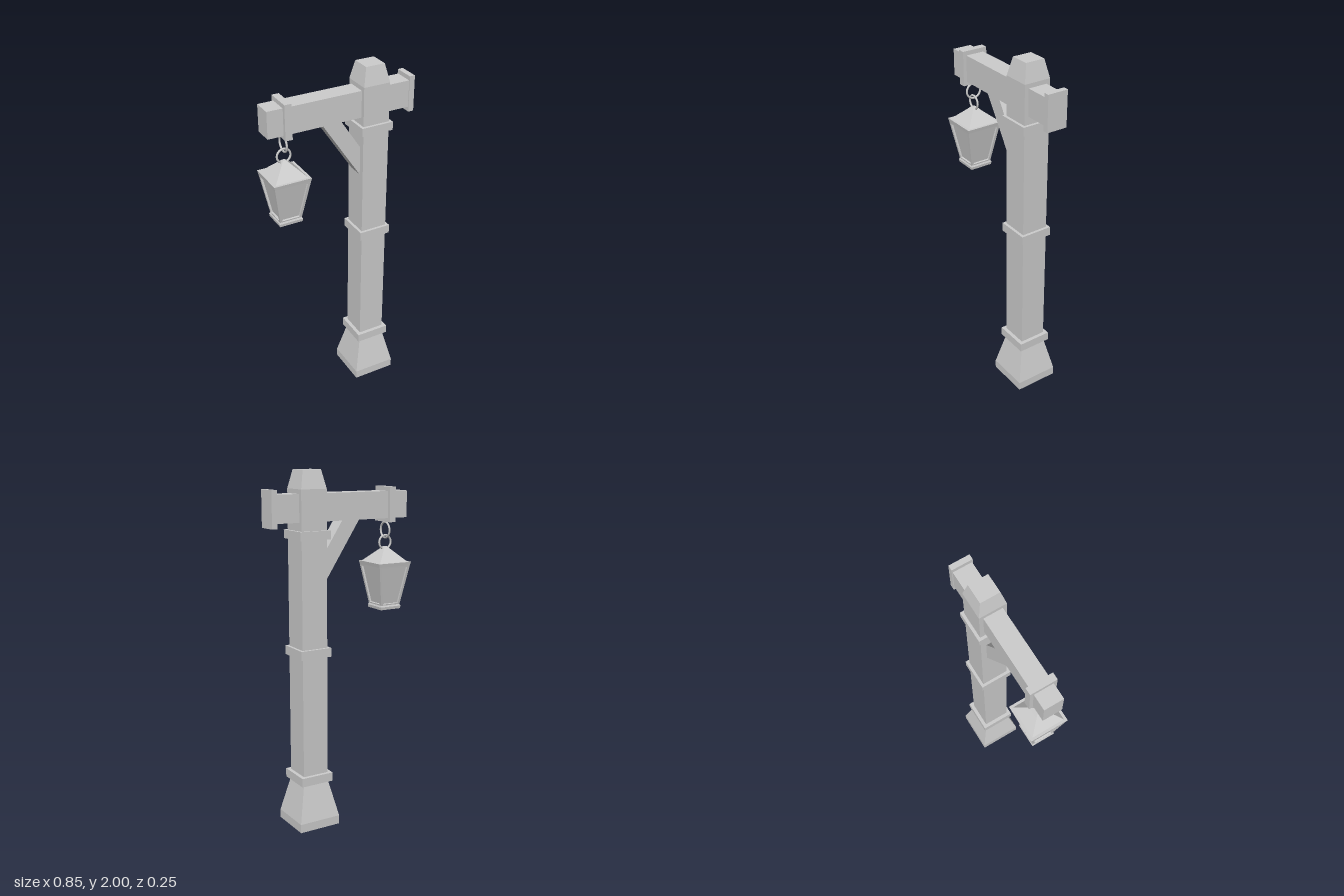
import * as THREE from 'three';

const stone = new THREE.MeshStandardMaterial({ color: 0xcccccc });
stone.name = 'grey';

const POST_X = 0.184, LAMP_X = -0.32;

function add(parent, name, geometry, x = 0, y = 0, z = 0) {
  const mesh = new THREE.Mesh(geometry, stone);
  mesh.name = name;
  mesh.position.set(x, y, z);
  parent.add(mesh);
  return mesh;
}

// Solid with square cross-sections, from [halfWidth, y] pairs listed bottom to top
function squareLoft(profile) {
  const first = profile[0], last = profile[profile.length - 1];
  const points = [[0, first[1]], ...profile, [0, last[1]]]
    .map(([h, y]) => new THREE.Vector2(h * Math.SQRT2, y));
  const geometry = new THREE.LatheGeometry(points, 4).rotateY(Math.PI / 4).toNonIndexed();
  geometry.computeVertexNormals();
  return geometry;
}

function boxBetween(parent, name, x0, x1, y0, y1, halfDepth) {
  return add(parent, name, new THREE.BoxGeometry(x1 - x0, y1 - y0, halfDepth * 2),
    (x0 + x1) / 2, (y0 + y1) / 2, 0);
}

function polygon(Type, corners) {
  return new Type(corners.map(([x, y]) => new THREE.Vector2(x, y)));
}

function buildPost() {
  const post = new THREE.Group();
  post.name = 'post';
  post.position.x = POST_X;
  add(post, 'foot', squareLoft([[0.125, 0], [0.125, 0.05], [0.078, 0.26]]));
  add(post, 'shaft', squareLoft([[0.077, 0.25], [0.077, 1.9], [0.055, 2]]));
  // Square collars
  for (const [y0, y1, half] of [[0.26, 0.31, 0.098], [0.99, 1.04, 0.093], [1.635, 1.682, 0.093]]) {
    boxBetween(post, 'collar', -half, half, y0, y1, half);
  }
  return post;
}

function buildArm() {
  const arm = new THREE.Group();
  arm.name = 'arm';
  boxBetween(arm, 'beam', -0.428, 0.395, 1.727, 1.876, 0.054);
  boxBetween(arm, 'beamEndCap', 0.393, 0.424, 1.7, 1.9, 0.059);
  boxBetween(arm, 'strap', LAMP_X - 0.02, LAMP_X + 0.02, 1.705, 1.9, 0.074);
  // Diagonal brace under the beam
  const outline = polygon(THREE.Shape,
    [[-0.118, 1.73], [0.115, 1.375], [0.115, 1.54], [-0.01, 1.73]]);
  add(arm, 'brace', new THREE.ExtrudeGeometry(outline, { depth: 0.09, bevelEnabled: false }), 0, 0, -0.045);
  return arm;
}

function buildLantern() {
  const lantern = new THREE.Group();
  lantern.name = 'lantern';
  lantern.position.x = LAMP_X;

  // Two linked rings
  add(lantern, 'upperRing', new THREE.TorusGeometry(0.044, 0.006, 8, 20), 0, 1.657, 0).rotation.y = Math.PI / 2;
  add(lantern, 'lowerRing', new THREE.TorusGeometry(0.039, 0.006, 8, 20), 0, 1.588, 0);

  add(lantern, 'roof', squareLoft([[0.095, 1.478], [0.034, 1.538], [0.008, 1.564]]));
  add(lantern, 'eave', squareLoft([[0.102, 1.455], [0.107, 1.48]]));
  add(lantern, 'sill', squareLoft([[0.066, 1.21], [0.068, 1.226], [0.062, 1.238]]));
  add(lantern, 'panes', squareLoft([[0.051, 1.225], [0.092, 1.465]]));

  // Sloping window frames, one on each side
  const y0 = 1.232, y1 = 1.46, h0 = 0.063, h1 = 0.103;
  const tilt = Math.atan2(h1 - h0, y1 - y0);
  const length = Math.hypot(h1 - h0, y1 - y0);
  const outline = polygon(THREE.Shape, [[-h0, 0], [h0, 0], [h1, length], [-h1, length]]);
  outline.holes.push(polygon(THREE.Path,
    [[-0.052, 0.01], [-0.086, length - 0.01], [0.086, length - 0.01], [0.052, 0.01]]));
  for (let i = 0; i < 4; i++) {
    const frame = new THREE.ExtrudeGeometry(outline, { depth: 0.014, bevelEnabled: false })
      .translate(0, 0, -0.014)
      .rotateX(tilt)
      .translate(0, y0, h0)
      .rotateY(i * Math.PI / 2);
    add(lantern, 'windowFrame', frame);
  }
  return lantern;
}

export function createModel() {
  const model = new THREE.Group();
  model.name = 'lampPost';
  model.add(buildPost(), buildArm(), buildLantern());
  return model;
}
